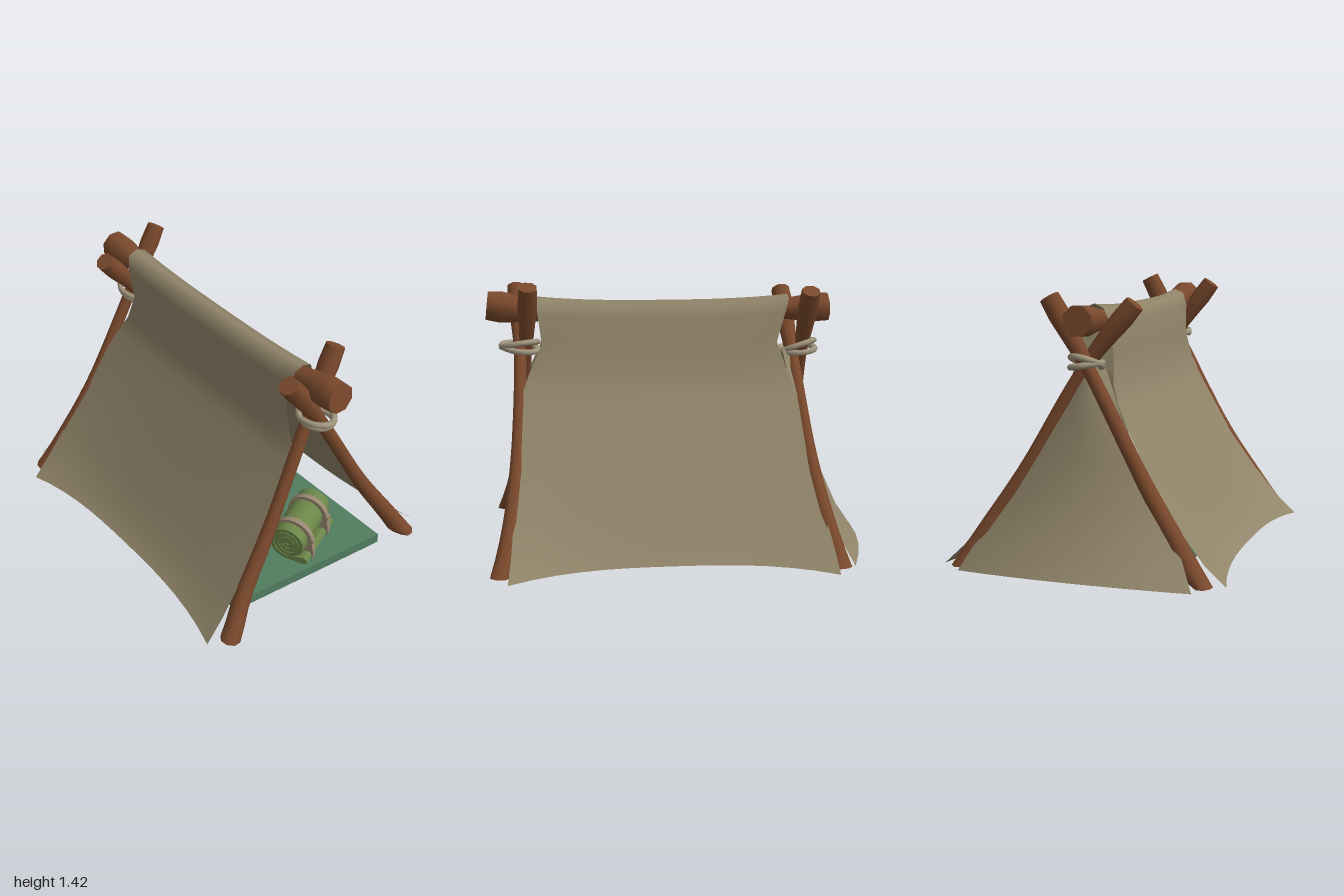
import * as THREE from 'three';

const mat = (name, color, side = THREE.FrontSide) => {
  const m = new THREE.MeshStandardMaterial({ color, side });
  m.name = name;
  return m;
};

// Grid surface from rows of points; wrap closes each row into a ring
function gridGeometry(rows, wrap = false) {
  const n = rows[0].length, index = [];
  for (let j = 0; j < rows.length - 1; j++) {
    for (let i = 0; i < (wrap ? n : n - 1); i++) {
      const k = (i + 1) % n;
      const a = j * n + i, b = j * n + k, c = a + n, d = b + n;
      index.push(a, b, d, a, d, c);
    }
  }
  const g = new THREE.BufferGeometry();
  g.setAttribute('position', new THREE.Float32BufferAttribute(rows.flat(2), 3));
  g.setIndex(index);
  g.computeVertexNormals();
  return g;
}

// Tapered bent log cut flat at the ground: radius interpolated from [t, r] stops
function logGeometry(points, stops, sides = 8, steps = 16) {
  const curve = new THREE.CatmullRomCurve3(points.map(p => new THREE.Vector3(...p)));
  const radius = t => {
    let k = 1;
    while (k < stops.length - 1 && t > stops[k][0]) k++;
    const [t0, r0] = stops[k - 1], [t1, r1] = stops[k];
    return THREE.MathUtils.lerp(r0, r1, (t - t0) / (t1 - t0));
  };
  const ring = (t, r) => {
    const c = curve.getPointAt(t), dir = curve.getTangentAt(t);
    const ref = Math.abs(dir.z) > 0.8 ? new THREE.Vector3(0, 1, 0) : new THREE.Vector3(0, 0, 1);
    const u = ref.clone().cross(dir).normalize(), v = dir.clone().cross(u);
    return Array.from({ length: sides }, (_, i) => {
      const a = (i + 0.5) / sides * Math.PI * 2;
      const q = c.clone().addScaledVector(u, r * Math.cos(a)).addScaledVector(v, r * Math.sin(a));
      return [q.x, Math.max(q.y, 0.018), q.z];
    });
  };
  const rows = [ring(0, 0), ring(0, radius(0))];
  for (let i = 0; i <= steps; i++) rows.push(ring(i / steps, radius(i / steps)));
  rows.push(ring(1, radius(1)), ring(1, 0));
  return gridGeometry(rows, true);
}

export function createModel() {
  const model = new THREE.Group();
  model.name = 'tent';
  const wood = mat('wood', 0x7a492c);
  const canvas = mat('canvas', 0x91856a, THREE.DoubleSide);
  const rope = mat('rope', 0xa0947d);
  const matGreen = mat('mat green', 0x527d5f);
  const rollGreen = mat('roll green', 0x6b8548);
  const strapTan = mat('strap tan', 0x988871);
  const add = (name, geometry, material, parent = model) => {
    const m = new THREE.Mesh(geometry, material);
    m.name = name;
    parent.add(m);
    return m;
  };

  // Crossed poles at each end
  const poleStops = [[0, 0.055], [0.15, 0.047], [0.45, 0.036], [0.75, 0.034], [0.97, 0.058], [1, 0.05]];
  const poles = {
    frontRightPole: [[-0.63, -0.01, 0.94], [-0.5, 0.21, 0.88], [-0.33, 0.48, 0.845], [-0.03, 1.07, 0.79], [0.14, 1.41, 0.77]],
    frontLeftPole: [[0.63, -0.01, 0.93], [0.5, 0.21, 0.88], [0.33, 0.48, 0.845], [0, 1.07, 0.82], [-0.22, 1.38, 0.84]],
    backRightPole: [[-0.64, -0.01, -0.785], [-0.5, 0.21, -0.75], [-0.33, 0.48, -0.72], [-0.02, 1.05, -0.7], [0.17, 1.38, -0.71]],
    backLeftPole: [[0.63, -0.01, -0.805], [0.5, 0.21, -0.75], [0.33, 0.48, -0.7], [0, 1.05, -0.64], [-0.24, 1.35, -0.62]],
  };
  for (const [name, pts] of Object.entries(poles)) add(name, logGeometry(pts, poleStops), wood);

  // Ridge log under the canvas
  add('ridgePole', logGeometry(
    [[-0.025, 1.275, -0.84], [-0.027, 1.265, -0.62], [-0.03, 1.25, 0], [-0.03, 1.27, 0.72], [-0.025, 1.3, 0.99]],
    [[0, 0.078], [0.02, 0.085], [0.13, 0.058], [0.25, 0.042], [0.7, 0.042], [0.84, 0.056], [0.97, 0.088], [1, 0.078]], 8, 24), wood);

  // Canvas draped over the ridge: [x at ends, x in middle, y, front z, back z]
  const profile = [
    [-0.74, -0.66, 0.01, 0.89, -0.73], [-0.635, -0.58, 0.11, 0.875, -0.74], [-0.51, -0.485, 0.27, 0.86, -0.735],
    [-0.352, -0.355, 0.5, 0.84, -0.71], [-0.217, -0.225, 0.75, 0.822, -0.675], [-0.165, -0.172, 0.85, 0.812, -0.645],
    [-0.122, -0.13, 0.95, 0.775, -0.6], [-0.105, -0.115, 1.1, 0.705, -0.55], [-0.1, -0.1, 1.26, 0.725, -0.6],
    [-0.078, -0.078, 1.325, 0.73, -0.62], [-0.03, -0.03, 1.345, 0.73, -0.62], [0.022, 0.022, 1.325, 0.73, -0.62],
    [0.045, 0.045, 1.26, 0.725, -0.6], [0.07, 0.075, 1.1, 0.705, -0.55], [0.11, 0.112, 0.95, 0.775, -0.6],
    [0.155, 0.157, 0.85, 0.812, -0.645], [0.212, 0.212, 0.75, 0.822, -0.675], [0.35, 0.34, 0.5, 0.84, -0.7],
    [0.505, 0.46, 0.27, 0.86, -0.735], [0.63, 0.555, 0.11, 0.875, -0.765], [0.735, 0.61, 0.01, 0.89, -0.775],
  ];
  const drape = [];
  for (let j = 0; j <= 14; j++) {
    const v = j / 14, s = Math.abs(2 * v - 1) ** 2.8;
    drape.push(profile.map(([xe, xm, y, zf, zb]) =>
      [xm + (xe - xm) * s, y + (1 - s) * (y > 1.2 ? -0.025 : y < 0.1 ? 0.03 : 0), zb + (zf - zb) * v]));
  }
  add('canvasCover', gridGeometry(drape), canvas);

  // Back flap, meeting the cover's rear edge: [y, half width, centre z, edge z]
  const flapRows = [[1.06, 0.06, -0.64, -0.58], [0.95, 0.11, -0.67, -0.6], [0.8, 0.185, -0.695, -0.655],
    [0.6, 0.29, -0.735, -0.69], [0.4, 0.405, -0.8, -0.72], [0.2, 0.515, -0.89, -0.78], [0.01, 0.61, -1, -0.88]];
  add('backFlap', gridGeometry(flapRows.map(([y, w, zc, ze], j) =>
    Array.from({ length: 9 }, (_, i) => {
      const s = i / 4 - 1, b = 1 - s * s;
      return [s * w, y + (j === 6 ? 0.03 * b : 0), ze + (zc - ze) * b];
    }))), canvas);

  // Rope lashings, two tilted loops per crossing
  for (const [name, y, z, tilt] of [['frontLashing', 1.085, 0.822, 0], ['backLashing', 1.057, -0.675, 0.18]]) {
    const lashing = new THREE.Group();
    lashing.name = name;
    lashing.position.set(-0.01, y, z);
    for (const s of [-1, 1]) {
      const g = new THREE.TorusGeometry(0.085, 0.016, 8, 28);
      g.rotateX(Math.PI / 2);
      g.scale(0.92, 1, 1.12);
      g.rotateZ(s * 0.17);
      g.rotateX(s * 0.14 + tilt);
      g.translate(0, s * 0.008, 0);
      add('ropeLoop', g, rope, lashing);
    }
    model.add(lashing);
  }

  // Ground mat: slightly skewed slab with a hollow underside
  const slab = new THREE.BoxGeometry(1, 1, 1, 12, 1, 16);
  const p = slab.attributes.position;
  const mix = THREE.MathUtils.lerp;
  for (let i = 0; i < p.count; i++) {
    const u = p.getX(i) + 0.5, v = p.getZ(i) + 0.5, top = p.getY(i) > 0;
    const edge = Math.min(1, 8 * Math.min(u, 1 - u, v, 1 - v));
    const x = mix(mix(-0.45, 0.42, u), mix(-0.49, 0.44, u), v);
    const z = mix(mix(-0.74, -0.69, u), mix(0.81, 0.91, u), v);
    p.setXYZ(i, x, top ? 0.078 : 0.02 + 0.042 * edge, z);
  }
  slab.computeVertexNormals();
  add('groundMat', slab, matGreen);

  // Bedroll: spiral sheet with a thick loose tail, lying across the mat
  const bedroll = new THREE.Group();
  bedroll.name = 'bedroll';
  bedroll.position.set(0.092, 0.186, 0.66);
  bedroll.rotation.y = 1.99;
  model.add(bedroll);
  const turns = 3.2, steps = 80, outer = [], inner = [];
  for (let i = 0; i <= steps; i++) {
    const f = i / steps, a = -Math.PI / 2 + (1 - f) * turns * Math.PI * 2, r = 0.024 + 0.085 * f;
    outer.push(new THREE.Vector2(Math.cos(a) * r, Math.sin(a) * r));
    inner.push(new THREE.Vector2(Math.cos(a) * (r - 0.022), Math.sin(a) * (r - 0.022)));
  }
  const tail = [[-0.095, -0.108], [-0.113, -0.1], [-0.12, -0.086], [-0.113, -0.072], [-0.095, -0.064], [-0.05, -0.075]]
    .map(q => new THREE.Vector2(...q));
  const sheet = new THREE.ExtrudeGeometry(new THREE.Shape([...outer, ...tail, ...inner.reverse()]),
    { depth: 0.36, bevelEnabled: false });
  sheet.translate(0, 0, -0.18);
  add('rolledBlanket', sheet, rollGreen, bedroll);
  const core = new THREE.CylinderGeometry(0.09, 0.09, 0.35, 24);
  core.rotateX(Math.PI / 2);
  add('rollCore', core, rollGreen, bedroll);

  // Straps with small buckles
  for (const z of [-0.105, 0.095]) {
    const s = new THREE.Shape();
    s.absarc(0, 0, 0.114, -Math.PI / 2, Math.PI, false);
    s.lineTo(-0.126, -0.06);
    s.lineTo(-0.126, -0.108);
    const band = new THREE.ExtrudeGeometry(s, { depth: 0.03, bevelEnabled: false, curveSegments: 24 });
    band.translate(0, 0, z - 0.015);
    add('strap', band, strapTan, bedroll);
    const buckle = new THREE.BoxGeometry(0.01, 0.024, 0.036);
    buckle.translate(-0.117, 0.01, z);
    add('buckle', buckle, strapTan, bedroll);
  }
  return model;
}
